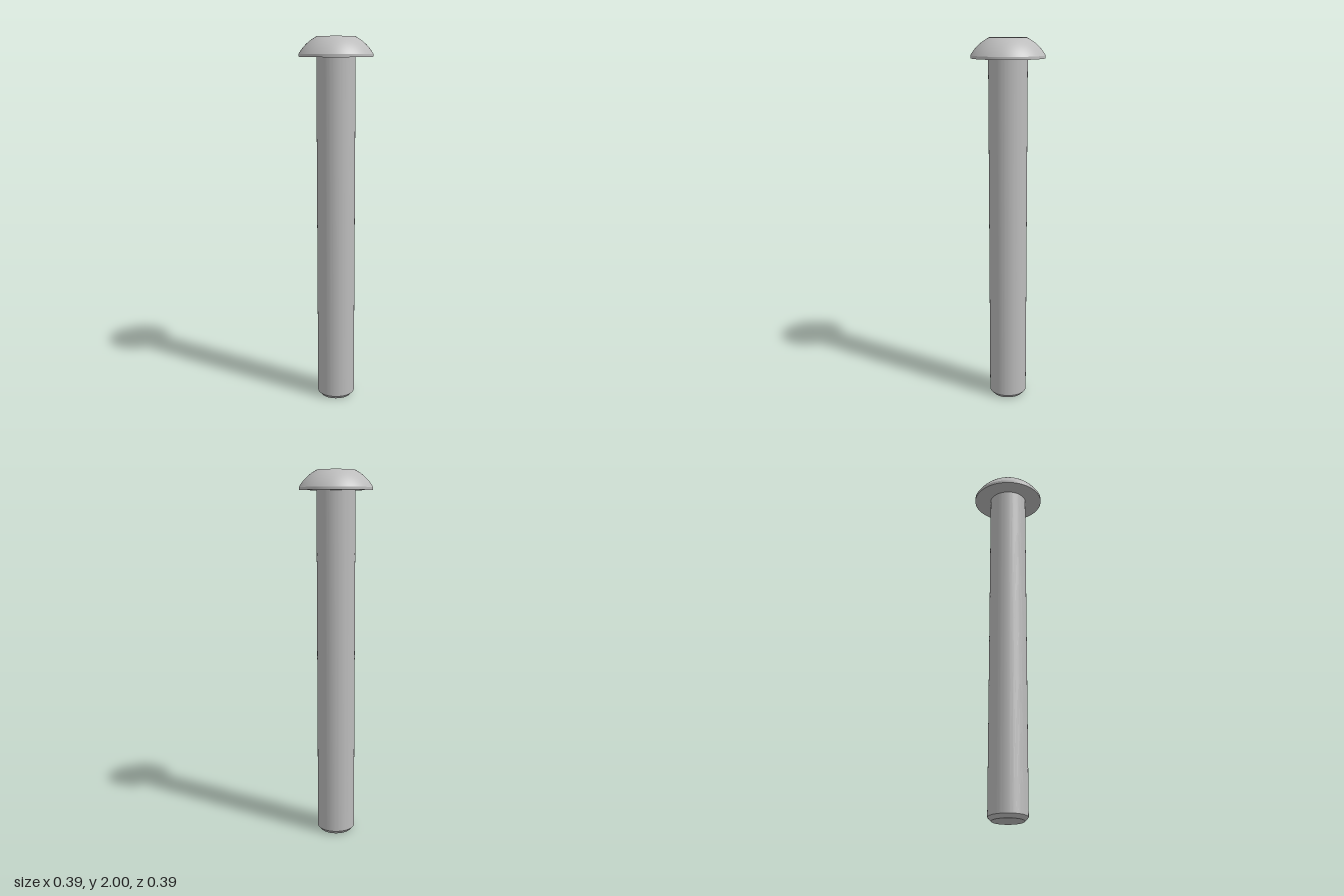
import * as THREE from 'three';
import { mergeVertices, toCreasedNormals } from 'three/addons/utils/BufferGeometryUtils.js';

const SEGMENTS = 96;
const SHAFT_R = 0.103, HEAD_R = 0.195, TOP_R = 0.097;
const HEAD_Y = 1.895, RIM_Y = 1.91, TOP_Y = 2;
const HEX_FLAT = 0.068, SOCKET_DEPTH = 0.07;

const steel = new THREE.MeshStandardMaterial({ color: 0xbcbcbc });
steel.name = 'steel';

function lathe(points, segments = SEGMENTS, start = 0) {
  return new THREE.LatheGeometry(points.map(([r, y]) => new THREE.Vector2(r, y)), segments, start);
}

// Dome: an arc of revolution whose innermost loop is drawn in to the hexagon
function domeGeometry() {
  const centreY = (TOP_Y + RIM_Y) / 2 - (HEAD_R ** 2 - TOP_R ** 2) / (2 * (TOP_Y - RIM_Y));
  const radius = Math.hypot(HEAD_R, RIM_Y - centreY);
  const a0 = Math.atan2(RIM_Y - centreY, HEAD_R);
  const a1 = Math.atan2(TOP_Y - centreY, TOP_R);
  const points = [];
  for (let i = 0; i <= 12; i++) {
    const a = a0 + (a1 - a0) * i / 12;
    points.push([radius * Math.cos(a), centreY + radius * Math.sin(a)]);
  }
  points.push([HEX_FLAT, TOP_Y]);

  const geometry = lathe(points);
  const position = geometry.attributes.position;
  const sector = Math.PI / 3;
  for (let s = 0; s <= SEGMENTS; s++) {
    const phi = s / SEGMENTS * Math.PI * 2;
    const r = HEX_FLAT / Math.cos(phi - Math.round(phi / sector) * sector);
    const index = s * points.length + points.length - 1;
    position.setXYZ(index, r * Math.sin(phi), TOP_Y, r * Math.cos(phi));
  }
  geometry.deleteAttribute('normal');
  geometry.deleteAttribute('uv');
  const merged = mergeVertices(geometry, 1e-5);
  merged.computeVertexNormals();
  return merged;
}

export function createModel() {
  const group = new THREE.Group();
  group.name = 'buttonHeadBolt';

  function add(name, geometry) {
    const mesh = new THREE.Mesh(geometry, steel);
    mesh.name = name;
    group.add(mesh);
  }

  // Shaft with chamfered tip
  add('shaft', toCreasedNormals(lathe([
    [0, 0], [0.085, 0], [SHAFT_R, 0.02], [SHAFT_R, HEAD_Y],
  ]), 0.5));

  // Flat underside and thin vertical rim of the head
  add('headRim', toCreasedNormals(lathe([
    [SHAFT_R, HEAD_Y], [HEAD_R, HEAD_Y], [HEAD_R, RIM_Y],
  ]), 0.5));

  add('headDome', domeGeometry());

  // Hexagonal socket: inward-facing walls and floor
  const hexR = HEX_FLAT / Math.cos(Math.PI / 6);
  const floorY = TOP_Y - SOCKET_DEPTH;
  add('hexSocket', toCreasedNormals(
    lathe([[hexR, TOP_Y], [hexR, floorY], [0, floorY]], 6, Math.PI / 6), 0.5));

  return group;
}
